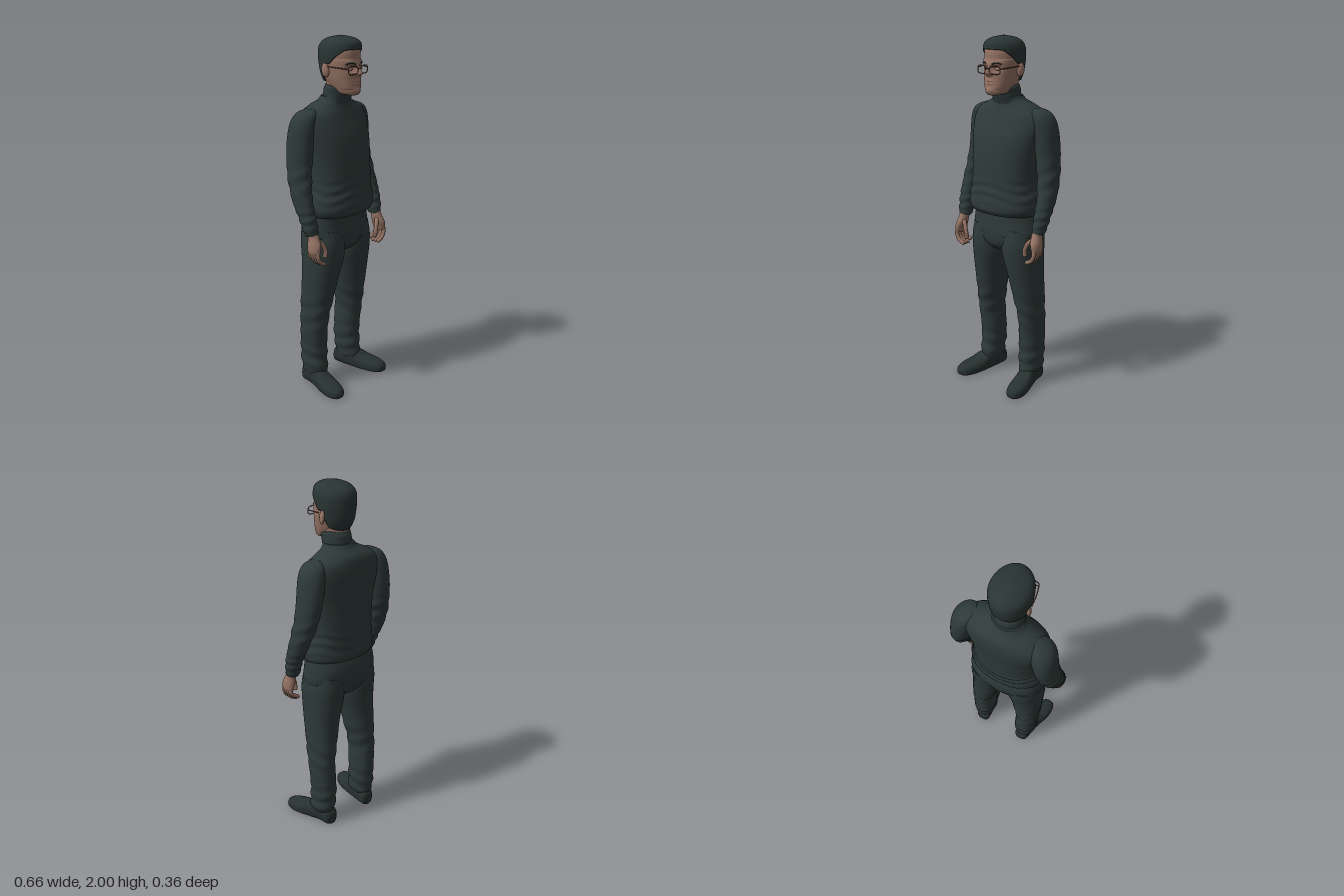
import * as THREE from 'three';

const mat = (name, color) => {
  const m = new THREE.MeshStandardMaterial({ color });
  m.name = name;
  return m;
};

// Hermite interpolation of rows [y, cx, cz, rx, rz, power] at height y
function sample(rows, y) {
  let i = 0;
  while (i < rows.length - 2 && y > rows[i + 1][0]) i++;
  const a = rows[i], b = rows[i + 1], h = b[0] - a[0];
  const t = Math.min(1, Math.max(0, (y - a[0]) / h));
  const slope = (k, c) => {
    const p = rows[Math.max(0, k - 1)], q = rows[Math.min(rows.length - 1, k + 1)];
    return (q[c] - p[c]) / (q[0] - p[0]);
  };
  const t2 = t * t, t3 = t2 * t;
  return a.map((v, c) => c === 0 ? y
    : v * (2 * t3 - 3 * t2 + 1) + b[c] * (3 * t2 - 2 * t3)
      + h * (slope(i, c) * (t3 - 2 * t2 + t) + slope(i + 1, c) * (t3 - t2)));
}

function ringPoint(r, a) {
  const e = 2 / (r[5] || 2), c = Math.cos(a), s = Math.sin(a);
  return [
    r[1] + r[3] * Math.sign(c) * Math.abs(c) ** e, r[0],
    r[2] + r[4] * Math.sign(s) * Math.abs(s) ** e];
}

// Skin a grid of rings (listed upward) and close both ends
function skinRings(rings) {
  const n = rings[0].length, pos = rings.flat(2), idx = [];
  for (let j = 0; j < rings.length - 1; j++) for (let i = 0; i < n; i++) {
    const a = j * n + i, b = j * n + (i + 1) % n;
    idx.push(a, a + n, b, b, a + n, b + n);
  }
  for (const [ring, top] of [[rings[0], false], [rings[rings.length - 1], true]]) {
    const base = pos.length / 3;
    pos.push(...ring.flat());
    pos.push(...[0, 1, 2].map(c => ring.reduce((s, p) => s + p[c], 0) / n));
    for (let i = 0; i < n; i++) {
      const a = base + i, b = base + (i + 1) % n;
      idx.push(base + n, top ? b : a, top ? a : b);
    }
  }
  const g = new THREE.BufferGeometry();
  g.setAttribute('position', new THREE.Float32BufferAttribute(pos, 3));
  g.setIndex(idx);
  g.computeVertexNormals();
  return g;
}

// Loft through rows; fold(y, angle) adds a small outward cloth ripple
function loft(rows, { steps = 40, sides = 40, fold = () => 0 } = {}) {
  const y0 = rows[0][0], y1 = rows[rows.length - 1][0], rings = [];
  for (let j = 0; j <= steps; j++) {
    const r = sample(rows, y0 + (y1 - y0) * j / steps), ring = [];
    for (let i = 0; i < sides; i++) {
      const a = i / sides * Math.PI * 2, f = fold(r[0], a);
      const q = [...r];
      q[3] += f; q[4] += f;
      ring.push(ringPoint(q, a));
    }
    rings.push(ring);
  }
  return skinRings(rings);
}

const bump = (v, c, w) => Math.exp(-(((v - c) / w) ** 2));

export function createModel() {
  const group = new THREE.Group();
  const cloth = mat('dark cloth', 0x2d3a38), hairMat = mat('dark hair', 0x293533);
  const shoeMat = mat('shoe leather', 0x273230), skin = mat('skin', 0x957364);
  const frame = mat('glasses frame', 0x6b5044);
  const add = (name, geo, m) => {
    const mesh = new THREE.Mesh(geo, m);
    mesh.name = name;
    group.add(mesh);
    return mesh;
  };
  const v = (x, y, z) => new THREE.Vector3(x, y, z);
  const tube = (name, pts, r, m, closed = false) =>
    add(name, new THREE.TubeGeometry(new THREE.CatmullRomCurve3(pts, closed), closed ? 32 : 14, r, 8, closed), m);
  const ball = (name, p, s, m) => {
    const b = add(name, new THREE.SphereGeometry(1, 18, 12), m);
    b.position.copy(p);
    b.scale.set(...s);
    return b;
  };

  // Sweater body with gathered hem
  add('sweater', loft([
    [1.045, 0, -0.012, 0.208, 0.145, 2.3], [1.07, 0, -0.01, 0.22, 0.16, 2.3],
    [1.12, 0, -0.01, 0.22, 0.157, 2.3], [1.2, 0, -0.015, 0.205, 0.155, 2.3],
    [1.3, 0, -0.018, 0.203, 0.153, 2.3], [1.4, 0, -0.025, 0.212, 0.148, 2.3],
    [1.48, 0, -0.037, 0.225, 0.14, 2.3], [1.55, 0, -0.05, 0.232, 0.124, 2.3],
    [1.6, 0, -0.056, 0.215, 0.11, 2.2], [1.635, 0, -0.055, 0.16, 0.096, 2],
    [1.66, 0, -0.04, 0.105, 0.08, 2], [1.685, 0, -0.028, 0.085, 0.076, 2],
  ], { steps: 70, sides: 64, fold: (y, a) => 0.003 * bump(y, 1.17, 0.07) * Math.sin(y * 110 + Math.sin(a * 3) * 2) }), cloth);

  // Rolled collar, taller at the back
  const collar = loft([
    [1.645, 0, -0.035, 0.093, 0.08], [1.675, 0, -0.022, 0.082, 0.078],
    [1.7, 0, -0.01, 0.08, 0.074], [1.72, 0, -0.004, 0.08, 0.07], [1.727, 0, -0.004, 0.074, 0.064],
  ], { steps: 16 });
  const cp = collar.attributes.position;
  for (let i = 0; i < cp.count; i++)
    if (cp.getY(i) > 1.69) cp.setY(i, cp.getY(i) + 0.015 - cp.getZ(i) * 0.2);
  collar.computeVertexNormals();
  add('collar', collar, cloth);

  // Trouser seat
  add('trouserSeat', loft([
    [0.83, 0, -0.03, 0.11, 0.1], [0.86, 0, -0.03, 0.185, 0.125, 2.2],
    [0.92, 0, -0.032, 0.22, 0.138, 2.3], [1.0, 0, -0.037, 0.217, 0.137, 2.3],
    [1.07, 0, -0.03, 0.205, 0.128, 2.3],
  ], { sides: 56 }), cloth);

  for (const s of [1, -1]) {
    const side = s > 0 ? 'left' : 'right';
    const mir = rows => rows.map(([y, x, ...r]) => [y, x * s, ...r]);

    // Trouser leg
    add(side + 'Leg', loft(mir([
      [0.07, 0.15, -0.06, 0.05, 0.075, 2.2], [0.1, 0.152, -0.064, 0.06, 0.08, 2.2],
      [0.2, 0.15, -0.072, 0.066, 0.08, 2.2], [0.3, 0.152, -0.07, 0.069, 0.082, 2.1],
      [0.42, 0.155, -0.061, 0.069, 0.088, 2.1], [0.55, 0.143, -0.049, 0.083, 0.098, 2.1],
      [0.68, 0.13, -0.036, 0.096, 0.109, 2.1], [0.8, 0.115, -0.029, 0.109, 0.125, 2.1],
      [0.88, 0.112, -0.031, 0.11, 0.132, 2.1], [0.96, 0.11, -0.035, 0.1, 0.125, 2.1],
    ]), { steps: 70, fold: (y, a) =>
      0.004 * bump(y, 0.16, 0.1) * Math.sin(y * 75 + s * a) + 0.003 * bump(y, 0.46, 0.1) * Math.sin(y * 60 - s * a * 2) }), cloth);

    // Shoe lofted heel to toe, then laid down with a flat sole
    const shoe = loft(mir([
      [-0.148, 0.145, -0.035, 0.028, 0.035, 2.6], [-0.135, 0.146, -0.045, 0.042, 0.05, 2.6],
      [-0.07, 0.152, -0.05, 0.048, 0.058, 2.5], [0.0, 0.168, -0.042, 0.053, 0.058, 2.5],
      [0.05, 0.18, -0.03, 0.058, 0.048, 2.5], [0.11, 0.193, -0.022, 0.056, 0.042, 2.5],
      [0.155, 0.2, -0.018, 0.043, 0.034, 2.4], [0.175, 0.202, -0.015, 0.026, 0.025, 2.2],
      [0.181, 0.203, -0.014, 0.008, 0.012, 2],
    ]), { steps: 44 });
    shoe.rotateX(Math.PI / 2);
    const p = shoe.attributes.position;
    for (let i = 0; i < p.count; i++) p.setY(i, Math.max(0, p.getY(i)));
    shoe.computeVertexNormals();
    add(side + 'Shoe', shoe, shoeMat);

    // Sleeve with cuff folds
    add(side + 'Sleeve', loft(mir([
      [0.97, 0.276, 0.034, 0.032, 0.036], [0.985, 0.277, 0.031, 0.038, 0.041],
      [1.06, 0.282, 0.01, 0.043, 0.05], [1.15, 0.281, -0.025, 0.049, 0.06],
      [1.25, 0.267, -0.055, 0.056, 0.068], [1.35, 0.25, -0.073, 0.06, 0.075],
      [1.45, 0.235, -0.077, 0.064, 0.08], [1.54, 0.22, -0.072, 0.066, 0.078],
      [1.59, 0.205, -0.066, 0.059, 0.068], [1.615, 0.19, -0.062, 0.042, 0.05],
      [1.628, 0.178, -0.06, 0.015, 0.02],
    ]), { steps: 70, fold: (y, a) =>
      0.003 * bump(y, 1.05, 0.07) * Math.sin(y * 130 + a) + 0.003 * bump(y, 1.26, 0.08) * Math.sin(y * 70 + a * 2) }), cloth);

    // Palm and wrist
    add(side + 'Palm', loft(mir([
      [0.868, 0.289, 0.06, 0.018, 0.036], [0.885, 0.29, 0.06, 0.023, 0.041],
      [0.92, 0.284, 0.058, 0.028, 0.042], [0.96, 0.277, 0.047, 0.027, 0.033],
      [1.0, 0.277, 0.033, 0.027, 0.03],
    ]), { steps: 16, sides: 24 }), skin);

    // Curled fingers and thumb
    const digit = (name, pts, r) => {
      tube(name, pts, r, skin);
      ball(name + 'Tip', pts[pts.length - 1], [r, r, r], skin);
    };
    for (let k = 0; k < 4; k++) {
      const z = 0.032 + k * 0.019, d = k === 0 ? 0.014 : 0;
      digit(side + 'Finger' + (k + 1), [
        v(s * 0.29, 0.895, z), v(s * 0.293, 0.86, z + 0.003),
        v(s * 0.277, 0.828 + d, z + 0.004), v(s * 0.245, 0.81 + d, z + 0.002)], 0.0115);
    }
    digit(side + 'Thumb', [
      v(s * 0.268, 0.945, 0.06), v(s * 0.24, 0.915, 0.078),
      v(s * 0.225, 0.88, 0.085), v(s * 0.223, 0.848, 0.082)], 0.0125);

    // Ear
    const ear = ball(side + 'Ear', v(s * 0.1, 1.825, -0.015), [0.012, 0.037, 0.022], skin);
    ear.rotation.set(-0.15, s * -0.35, 0);

    // Glasses rim and temple arm
    const rim = [];
    for (let i = 0; i < 20; i++) {
      const q = ringPoint([0, s * 0.046, 0, 0.034, 0.021, 3], i / 20 * Math.PI * 2);
      rim.push(v(q[0], 1.828 + q[2], 0.133 - Math.abs(q[0]) * 0.13));
    }
    tube(side + 'Rim', rim, 0.0028, frame, true);
    tube(side + 'Temple', [v(s * 0.08, 1.836, 0.123), v(s * 0.095, 1.84, 0.07), v(s * 0.104, 1.845, 0)], 0.003, frame);
    // Eyebrow
    tube(side + 'Eyebrow', [v(s * 0.02, 1.858, 0.121), v(s * 0.045, 1.865, 0.113), v(s * 0.067, 1.857, 0.094)], 0.0035, hairMat);
    // Closed eyelid
    ball(side + 'Eyelid', v(s * 0.037, 1.832, 0.098), [0.017, 0.009, 0.012], skin);
  }
  tube('bridge', [v(-0.013, 1.834, 0.131), v(0, 1.839, 0.148), v(0.013, 1.834, 0.131)], 0.003, frame);

  // Neck
  add('neck', loft([[1.68, 0, -0.015, 0.068, 0.062], [1.8, 0, -0.01, 0.07, 0.065]], { steps: 4 }), skin);

  // Head with modelled brow, sockets, nose, mouth and chin
  const head = loft([
    [1.695, 0, 0.078, 0.03, 0.034], [1.703, 0, 0.062, 0.054, 0.06, 2.1],
    [1.73, 0, 0.042, 0.07, 0.08, 2.2], [1.78, 0, 0.02, 0.086, 0.1, 2.2],
    [1.83, 0, 0.005, 0.095, 0.115, 2.2], [1.88, 0, 0, 0.098, 0.117, 2.2],
    [1.93, 0, 0, 0.095, 0.113, 2.1], [1.965, 0, 0, 0.072, 0.09], [1.985, 0, 0, 0.03, 0.04],
  ], { steps: 90, sides: 112 });
  const hp = head.attributes.position;
  for (let i = 0; i < hp.count; i++) {
    const x = hp.getX(i), y = hp.getY(i), z = hp.getZ(i), ax = Math.abs(x);
    if (z < 0.03) continue;
    const nose = 0.034 * bump(x, 0, 0.011 + 0.007 * bump(y, 1.805, 0.02)) * bump(y, 1.811, y > 1.811 ? 0.036 : 0.013);
    const socket = -0.014 * bump(ax, 0.037, 0.022) * bump(y, 1.833, 0.016);
    const brow = 0.005 * bump(ax, 0.035, 0.035) * bump(y, 1.862, 0.012);
    const lips = 0.007 * bump(x, 0, 0.026) * bump(y, 1.764, 0.014) - 0.006 * bump(x, 0, 0.026) * bump(y, 1.764, 0.004);
    const chin = 0.008 * bump(x, 0, 0.03) * bump(y, 1.722, 0.015);
    hp.setZ(i, z + nose + socket + brow + lips + chin);
  }
  head.computeVertexNormals();
  add('head', head, skin);

  // Short hair: a shell reaching down to a hairline that depends on direction
  const hairRows = [
    [1.74, 0, 0.0, 0.08, 0.073], [1.8, 0, 0, 0.096, 0.108], [1.86, 0, 0, 0.103, 0.121],
    [1.9, 0, 0, 0.105, 0.124, 2.1], [1.94, 0, 0.002, 0.103, 0.122, 2.1], [1.97, 0, 0.008, 0.087, 0.108],
    [1.99, 0, 0.01, 0.053, 0.068], [2.0, 0, 0.01, 0.008, 0.01]];
  const hairline = [[-1, 1.755], [-0.5, 1.775], [-0.3, 1.805], [-0.1, 1.855],
    [0.1, 1.86], [0.3, 1.885], [0.55, 1.91], [0.75, 1.928], [1, 1.932]];
  const rings = [], N = 72, M = 36;
  for (let j = -1; j <= M; j++) {
    const ring = [];
    for (let i = 0; i < N; i++) {
      const a = i / N * Math.PI * 2, t = Math.max(0, j) / M;
      const low = sample(hairline, Math.sin(a))[1];
      const edge = sample(hairline, Math.sin(a));
      const y = (edge.length ? low : 0) + (2 - low) * (1 - (1 - t) ** 1.6);
      const r = sample(hairRows, y);
      if (j < 0) { r[3] -= 0.014; r[4] -= 0.016; }
      ring.push(ringPoint([r[0], r[1], r[2], r[3], r[4], r[5] || 2], a));
    }
    rings.push(ring);
  }
  add('hair', skinRings(rings), hairMat);

  return group;
}
